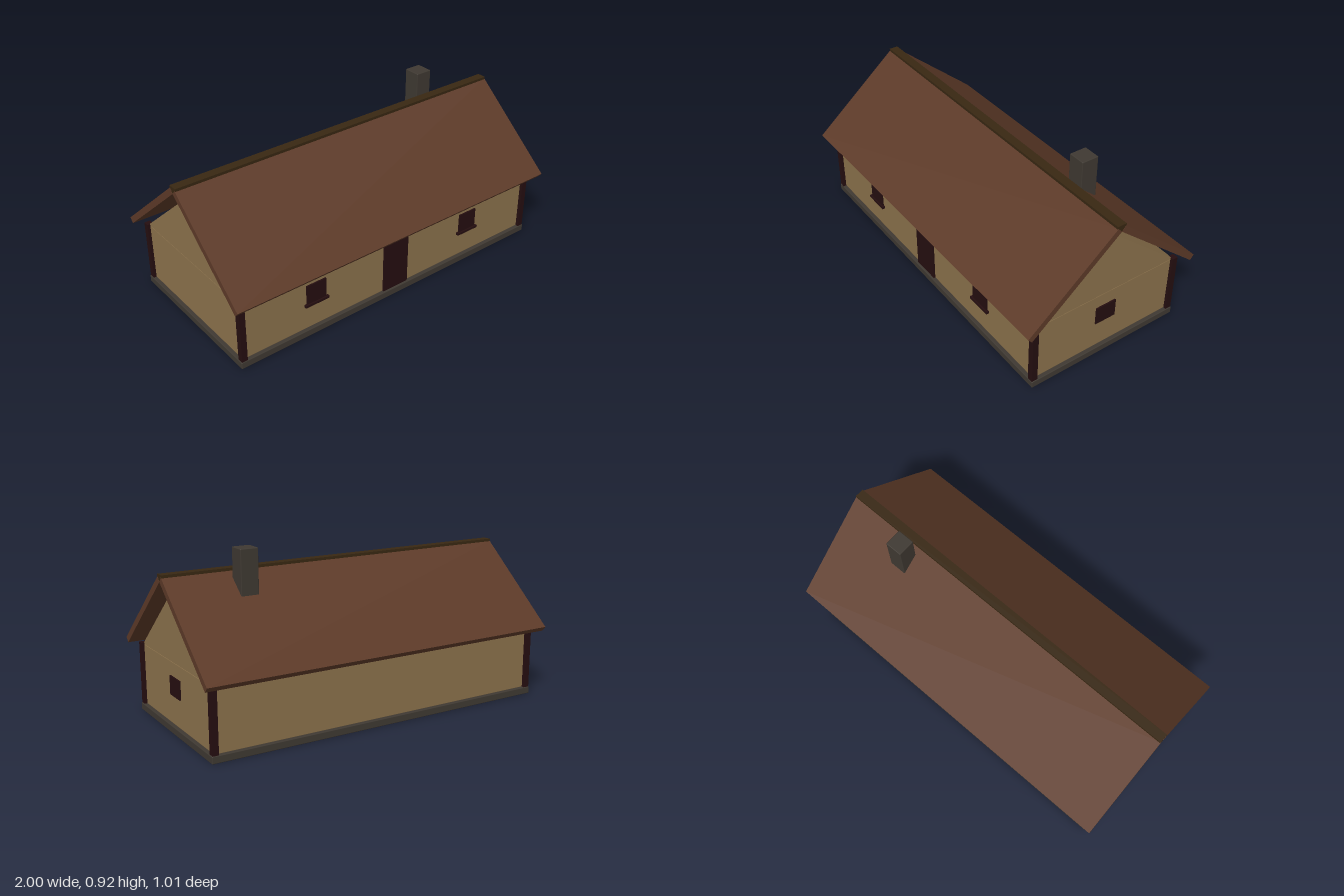
import * as THREE from 'three';
import { RoundedBoxGeometry } from 'three/addons/geometries/RoundedBoxGeometry.js';

const mat = (name, color) => {
  const m = new THREE.MeshStandardMaterial({ color });
  m.name = name;
  return m;
};

export function createModel() {
  const house = new THREE.Group();
  house.name = 'house';

  const plaster = mat('plaster', 0x8c724c);
  const roofing = mat('roofing', 0x5d3a28);
  const timber = mat('darkTimber', 0x250e10);
  const stone = mat('stone', 0x3f3932);
  const ridgeWood = mat('ridgeWood', 0x382712);

  const add = (name, geometry, material) => {
    const mesh = new THREE.Mesh(geometry, material);
    mesh.name = name;
    house.add(mesh);
    return mesh;
  };

  // Box given by its minimum and maximum corners, optionally with softened edges
  const box = (name, [x0, y0, z0], [x1, y1, z1], material, bevel = 0) => {
    const size = [x1 - x0, y1 - y0, z1 - z0];
    const geometry = bevel
      ? new RoundedBoxGeometry(...size, 2, bevel)
      : new THREE.BoxGeometry(...size);
    add(name, geometry, material)
      .position.set((x0 + x1) / 2, (y0 + y1) / 2, (z0 + z1) / 2);
  };

  // Profile of [z, y] points extruded along the length of the house
  const lengthwise = (name, points, length, material) => {
    const shape = new THREE.Shape(points.map(([z, y]) => new THREE.Vector2(-z, y)));
    const geometry = new THREE.ExtrudeGeometry(shape, { depth: length, bevelEnabled: false });
    geometry.translate(0, 0, -length / 2).rotateY(Math.PI / 2);
    add(name, geometry, material);
  };

  // Foundation, walls and gable body
  box('foundation', [-0.96, 0, -0.445], [0.96, 0.038, 0.445], stone, 0.004);
  box('walls', [-0.94, 0.036, -0.425], [0.94, 0.361, 0.425], plaster, 0.004);
  lengthwise('gables', [[-0.425, 0.361], [0.425, 0.361], [0, 0.719]], 1.88, plaster);

  // Corner posts
  for (const x of [-0.94, 0.94]) {
    for (const z of [-0.4265, 0.4265]) {
      box('cornerPost', [x - 0.016, 0.037, z - 0.016], [x + 0.016, 0.37, z + 0.016], timber);
    }
  }

  // Roof slabs, with the ridge beam filling the gap between them
  const slab = [[0, 0.769], [0.485, 0.362], [0.506, 0.387], [0.021, 0.794]];
  lengthwise('frontRoof', slab, 2, roofing);
  lengthwise('backRoof', slab.map(([z, y]) => [-z, y]), 2, roofing);
  box('ridgeBeam', [-0.999, 0.77, -0.025], [0.999, 0.805, 0.025], ridgeWood);

  // Door, front windows with sills, and the single gable window
  box('door', [-0.08, 0.038, 0.42], [0.08, 0.315, 0.434], timber);
  for (const x of [-0.508, 0.508]) {
    box('frontWindow', [x - 0.058, 0.183, 0.42], [x + 0.058, 0.293, 0.433], timber);
    box('windowSill', [x - 0.071, 0.173, 0.42], [x + 0.071, 0.186, 0.441], timber);
  }
  box('gableWindow', [0.935, 0.19, -0.059], [0.948, 0.288, 0.059], timber);

  // Chimney behind the ridge
  box('chimney', [0.553, 0.56, -0.15], [0.648, 0.915, -0.055], stone, 0.004);

  return house;
}
